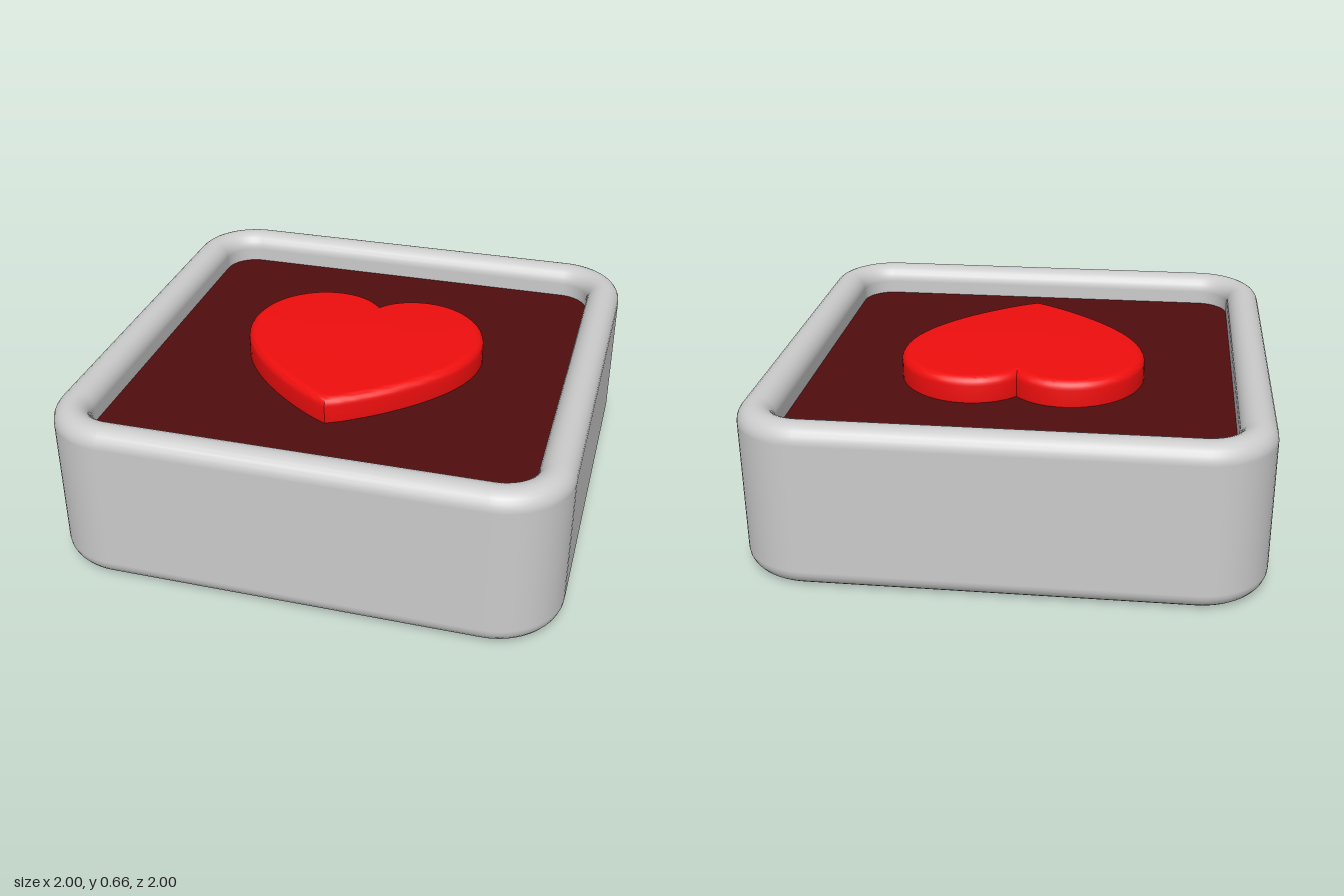
import * as THREE from 'three';
import { toCreasedNormals } from 'three/addons/utils/BufferGeometryUtils.js';

const HEIGHT = 0.66, WALL = 0.07, MID = 0.93, CORNER = 0.2; // wall half thickness, centreline half size and corner radius

// Centreline of the rounded square: points with outward directions
function squarePath(half, radius, steps) {
  const path = [], c = half - radius;
  for (let q = 0; q < 4; q++) {
    const mid = (q + 0.5) * Math.PI / 2;
    const cx = Math.sign(Math.cos(mid)) * c, cz = Math.sign(Math.sin(mid)) * c;
    for (let i = 0; i <= steps; i++) {
      const a = (q + i / steps) * Math.PI / 2, nx = Math.cos(a), nz = Math.sin(a);
      path.push({ x: cx + nx * radius, z: cz + nz * radius, nx, nz });
    }
  }
  return path;
}

// Pill-shaped wall section swept round the rounded square
function frameGeometry() {
  const path = squarePath(MID, CORNER, 16), section = [], n = 12;
  for (let end = 0; end < 2; end++)
    for (let i = 0; i <= n; i++) {
      const a = (end + i / n) * Math.PI;
      section.push({ out: Math.cos(a), up: Math.sin(a), y: end ? WALL : HEIGHT - WALL });
    }
  const pos = [], nor = [], idx = [], m = section.length;
  path.forEach((p, i) => section.forEach((s, j) => {
    pos.push(p.x + p.nx * s.out * WALL, s.y + s.up * WALL, p.z + p.nz * s.out * WALL);
    nor.push(p.nx * s.out, s.up, p.nz * s.out);
    const i2 = (i + 1) % path.length, j2 = (j + 1) % m;
    const a = i * m + j, b = i2 * m + j, c = i2 * m + j2, d = i * m + j2;
    idx.push(a, d, c, a, c, b);
  }));
  const g = new THREE.BufferGeometry();
  g.setAttribute('position', new THREE.Float32BufferAttribute(pos, 3));
  g.setAttribute('normal', new THREE.Float32BufferAttribute(nor, 3));
  g.setIndex(idx);
  return g;
}

// Slab filling the frame
function panelGeometry(bottom, top) {
  const outline = squarePath(0.88, 0.15, 12).map(p => new THREE.Vector2(p.x, p.z));
  const g = new THREE.ExtrudeGeometry(new THREE.Shape(outline), { depth: top - bottom, bevelEnabled: false });
  return g.rotateX(-Math.PI / 2).translate(0, bottom, 0);
}

// Heart with a softly rounded edge, tip towards +z
function heartGeometry(bottom, top) {
  const bevel = 0.035;
  const s = new THREE.Shape();
  s.moveTo(0, -0.47);
  s.bezierCurveTo(0.08, -0.435, 0.465, -0.18, 0.465, 0.1);
  s.bezierCurveTo(0.465, 0.27, 0.34, 0.395, 0.195, 0.395);
  s.bezierCurveTo(0.11, 0.395, 0.03, 0.35, 0, 0.275);
  s.bezierCurveTo(-0.03, 0.35, -0.11, 0.395, -0.195, 0.395);
  s.bezierCurveTo(-0.34, 0.395, -0.465, 0.27, -0.465, 0.1);
  s.bezierCurveTo(-0.465, -0.18, -0.08, -0.435, 0, -0.47);
  const g = new THREE.ExtrudeGeometry(s, {
    depth: top - bottom - 2 * bevel, curveSegments: 20,
    bevelThickness: bevel, bevelSize: bevel, bevelSegments: 6,
  });
  g.rotateX(-Math.PI / 2).translate(0, bottom + bevel, 0);
  return toCreasedNormals(g, 0.7);
}

export function createModel() {
  const group = new THREE.Group();
  const add = (name, geometry, color) => {
    const mesh = new THREE.Mesh(geometry, new THREE.MeshStandardMaterial({ color }));
    mesh.name = name;
    group.add(mesh);
  };
  add('frame', frameGeometry(), 0xcccccc);
  add('panel', panelGeometry(0.11, 0.535), 0x500d0e);
  add('heart', heartGeometry(0.49, 0.64), 0xf00e0e);
  return group;
}
